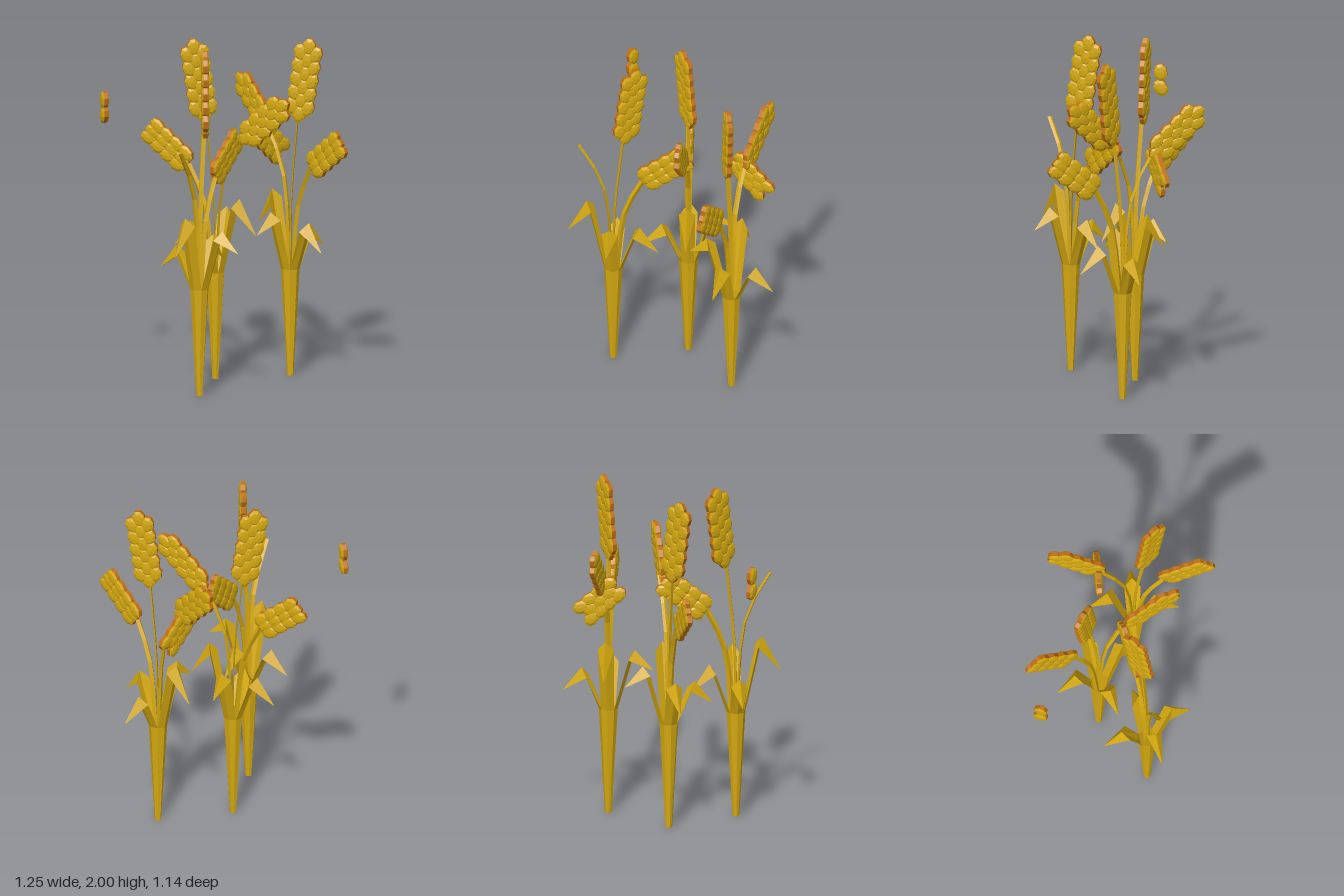
import * as THREE from 'three';
import { mergeGeometries } from 'three/addons/utils/BufferGeometryUtils.js';

const gold = new THREE.MeshStandardMaterial({ color: 0xd6aa10, flatShading: true });
gold.name = 'ripe gold';
const goldLeaf = gold.clone();
goldLeaf.name = 'ripe gold leaf';
goldLeaf.side = THREE.DoubleSide;
const amber = new THREE.MeshStandardMaterial({ color: 0xbf6e12, flatShading: true });
amber.name = 'amber husk';

function mesh(name, geometry, material) {
  const m = new THREE.Mesh(geometry, material);
  m.name = name;
  return m;
}

// One flat grain in the XY plane: amber rim and two bevelled golden faces
function grainParts(x, y, tilt) {
  const rim = new THREE.CylinderGeometry(1, 1, 0.024, 8, 1, true);
  const face = new THREE.LatheGeometry(
    [[1, 0.012], [0.65, 0.02], [0, 0.023]].map(p => new THREE.Vector2(...p)), 8);
  const back = face.clone().rotateX(Math.PI);
  return [rim, face, back].map(g => {
    const s = g.toNonIndexed();
    s.rotateY(Math.PI / 8).rotateX(Math.PI / 2).scale(0.053, 0.039, 1);
    return s.rotateZ(tilt).translate(x, y, 0);
  });
}

// Flat seed head: a list of [x, y, tilt] grains, turned towards a ground direction and raised
function head(name, grains, center, dir, elevation) {
  const rims = [], faces = [];
  for (const g of grains) {
    const [rim, front, back] = grainParts(...g);
    rims.push(rim);
    faces.push(front, back);
  }
  const group = new THREE.Group();
  group.name = name;
  group.add(mesh('grainRims', mergeGeometries(rims), amber), mesh('grainFaces', mergeGeometries(faces), gold));
  group.position.set(...center);
  group.rotation.set(0, Math.atan2(-dir[1], dir[0]), elevation);
  return group;
}

// Three staggered columns of grains
function columns(nCentre, nSide, pitch = 0.08) {
  const list = [];
  for (const [count, side] of [[nCentre, 0], [nSide, 1], [nSide, -1]]) {
    for (let i = 0; i < count; i++) {
      list.push([(i - (count - 1) / 2) * pitch, side * 0.044, side * 0.25]);
    }
  }
  return list;
}

// Folded leaf pointing along +z; stations: [edge distance, edge height, half width, ridge distance, ridge height]
function leaf(peak, tip) {
  const stations = [
    [0.012, 0, 0.013, 0.02, 0],
    [0.038, 0.63, 0.038, 0.055, 0.63],
    [0.122, peak - 0.05, 0.047, 0.155, peak],
    [0.26, tip, 0.002, 0.262, tip]];
  const pos = [], index = [];
  stations.forEach(([r, y, w, ridgeR, ridgeY], i) => {
    pos.push(-w, y, r, 0, ridgeY, ridgeR, w, y, r);
    if (i < 3) {
      for (let k = 0; k < 2; k++) {
        const a = i * 3 + k;
        index.push(a, a + 1, a + 4, a, a + 4, a + 3);
      }
    }
  });
  const g = new THREE.BufferGeometry();
  g.setAttribute('position', new THREE.Float32BufferAttribute(pos, 3));
  g.setIndex(index);
  g.computeVertexNormals();
  return g;
}

// Stem along three or more points, flattened into a blade across the given ground direction
function stem(name, points, across, thickness) {
  const curve = new THREE.CatmullRomCurve3(points.map(p => new THREE.Vector3(...p)));
  const g = new THREE.TubeGeometry(curve, 6, 0.016, 4, false);
  const pos = g.attributes.position, v = new THREE.Vector3();
  const side = new THREE.Vector3(across[0], 0, across[1]).normalize();
  for (let i = 0; i < pos.count; i++) {
    const c = curve.getPointAt(Math.floor(i / 5) / 6);
    v.fromBufferAttribute(pos, i).sub(c);
    const along = v.dot(side);
    v.addScaledVector(side, -along).multiplyScalar(thickness).addScaledVector(side, along).add(c);
    pos.setXYZ(i, v.x, v.y, v.z);
  }
  g.computeVertexNormals();
  return mesh(name, g, goldLeaf);
}

function plant(name, x, z, turn, withMiddleHead) {
  const group = new THREE.Group();
  group.name = name;
  // Four leaves wrap the stalk: [heading, fold height, tip height]
  const leaves = [[0, 0.92, 0.76], [Math.PI / 2, 0.87, 0.73], [Math.PI, 1.075, 0.865], [-Math.PI / 2, 0.985, 0.865]];
  for (const [heading, peak, tip] of leaves) {
    const l = mesh('leaf', leaf(peak, tip), goldLeaf);
    l.rotation.y = heading;
    group.add(l);
  }
  group.add(
    stem('tallStem', [[0, 0.5, 0], [0, 1.05, 0.01], [0.005, 1.55, 0.06]], [0.83, -0.55], 0.25),
    stem('middleStem', [[0, 0.5, 0], [0, 1.2, -0.06], [0, 1.46, -0.2]], [1, 0], 0.5),
    stem('lowStem', [[0, 0.5, 0.01], [0, 1.03, 0.07], [0, 1.25, 0.17]], [1, 0], 1),
    head('tallHead', columns(6, 5), [0.02, 1.75, 0.095], [0.1, 0.15], 1.42),
    head('lowHead', columns(4, 4, 0.076), [0.005, 1.345, 0.3], [0, 1], 0.66));
  if (withMiddleHead) {
    group.add(head('middleHead', columns(5, 4), [0.025, 1.55, -0.325], [0.03, -0.33], 0.73));
  }
  group.position.set(x, 0, z);
  group.rotation.y = THREE.MathUtils.degToRad(turn);
  return group;
}

export function createModel() {
  const model = new THREE.Group();
  model.name = 'grainPlants';
  model.add(
    plant('rightPlant', -0.365, 0.12, 105, false),
    plant('middlePlant', -0.005, -0.13, 201, true),
    plant('leftPlant', 0.37, 0.1, 0, true));
  // Loose pieces of a seed head
  model.add(
    head('looseHead', columns(3, 4, 0.07), [0.395, 1.345, -0.105], [1, 0], -0.75),
    head('looseGrains', [[0.045, 0.016, 0.2], [-0.04, -0.016, -0.2]],
      [-0.525, 1.615, -0.505], [-0.42, 0.9], 1.2));
  return model;
}
